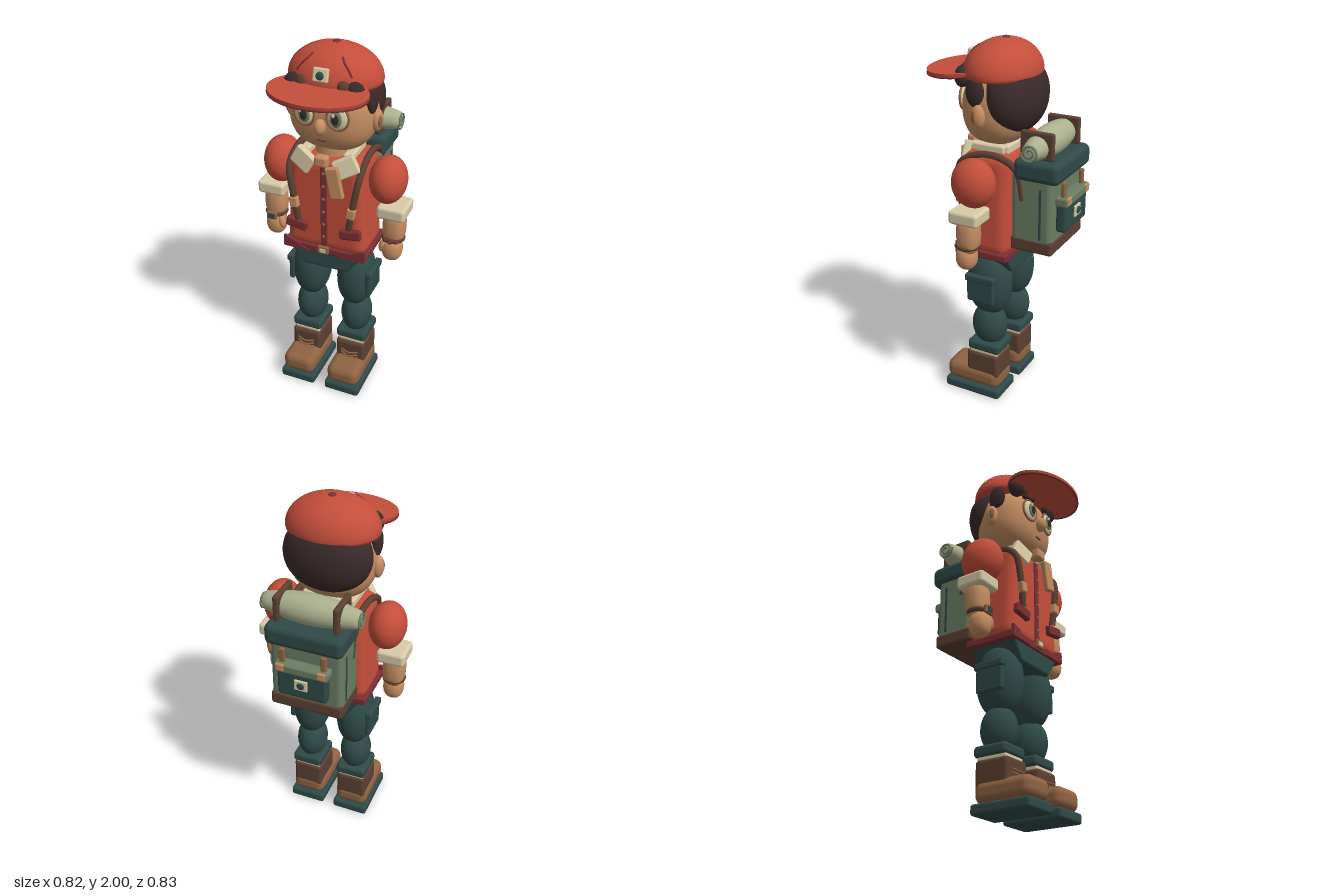
import * as THREE from 'three';
import { RoundedBoxGeometry } from 'three/addons/geometries/RoundedBoxGeometry.js';

const M = {};
for (const [name, hex] of Object.entries({
  red: 0xc44e3b, maroon: 0x7a2f34, teal: 0x2f4a48, sage: 0x6b7d64, paleSage: 0xabb18f,
  cream: 0xd8cba8, skin: 0xc48d62, leather: 0x8f6342, darkBrown: 0x5c4032, hair: 0x3a2a2a,
})) {
  M[name] = new THREE.MeshStandardMaterial({ color: hex });
  M[name].name = name;
}

export function createModel() {
  const root = new THREE.Group();
  root.name = 'hiker';

  const add = (name, geo, mat, p, rot = [0, 0, 0]) => {
    const m = new THREE.Mesh(geo, mat);
    m.name = name;
    m.position.set(...p);
    m.rotation.set(...rot);
    root.add(m);
    return m;
  };
  const box = (name, mat, p, s, r = 0.01, rot) =>
    add(name, r ? new RoundedBoxGeometry(...s, 3, r) : new THREE.BoxGeometry(...s), mat, p, rot);
  // Ellipsoid; exponent above 2 makes it boxier
  const ball = (name, mat, p, radii, rot, e = 2) => {
    const g = new THREE.SphereGeometry(1, 36, 24);
    const a = g.attributes.position;
    for (let i = 0; i < a.count; i++) {
      const v = [a.getX(i), a.getY(i), a.getZ(i)];
      const k = Math.pow(v.reduce((t, c) => t + Math.pow(Math.abs(c), e), 0), -1 / e);
      a.setXYZ(i, ...v.map((c, j) => c * k * radii[j]));
    }
    g.computeVertexNormals();
    return add(name, g, mat, p, rot);
  };
  const tube = (name, mat, pts, r, n = 24) => add(name, new THREE.TubeGeometry(
    new THREE.CatmullRomCurve3(pts.map(q => new THREE.Vector3(...q))), n, r, 8), mat, [0, 0, 0]);
  // Narrow a geometry in x and z from one end to the other
  const taper = (mesh, h, low, high) => {
    const a = mesh.geometry.attributes.position;
    for (let i = 0; i < a.count; i++) {
      const k = low + (high - low) * (a.getY(i) / h + 0.5);
      a.setX(i, a.getX(i) * k);
    }
    mesh.geometry.computeVertexNormals();
  };

  // Legs and boots
  for (const s of [1, -1]) {
    const x = s * 0.135;
    box('sole', M.teal, [x, 0.033, 0.11], [0.205, 0.056, 0.34], 0.015);
    box('bootFoot', M.leather, [x, 0.115, 0.113], [0.19, 0.115, 0.33], 0.045);
    box('bootShaft', M.darkBrown, [x, 0.2, 0.05], [0.17, 0.15, 0.195], 0.02);
    box('sock', M.cream, [x, 0.28, 0.045], [0.15, 0.025, 0.17], 0.008);
    box('trouserCuff', M.teal, [x, 0.317, 0.04], [0.175, 0.06, 0.195], 0.02);
    for (let i = 0; i < 3; i++)
      tube('lace', M.leather, [[x - 0.05, 0.215 - i * 0.02, 0.147], [x, 0.208 - i * 0.02, 0.16 + i * 0.005],
        [x + 0.05, 0.215 - i * 0.02, 0.147]], 0.005, 8);
    ball('lowerLeg', M.teal, [x, 0.435, 0.04], [0.085, 0.125, 0.1]);
    ball('upperLeg', M.teal, [s * 0.13, 0.695, 0.04], [0.1, 0.19, 0.125], undefined, 2.2);
    box('cargoPocket', M.teal, [s * 0.225, 0.685, 0.045], [0.03, 0.15, 0.16], 0.01);
    box('cargoFlap', M.teal, [s * 0.23, 0.75, 0.045], [0.036, 0.04, 0.175], 0.01);
  }

  // Hips and torso
  taper(box('hips', M.teal, [0, 0.835, 0.04], [0.42, 0.12, 0.27], 0.02), 0.12, 0.6, 1);
  taper(box('vest', M.red, [0, 1.165, 0.04], [0.45, 0.55, 0.28], 0.06), 0.55, 1, 0.88);
  box('hem', M.maroon, [0, 0.897, 0.04], [0.465, 0.04, 0.295], 0.008);
  box('placket', M.maroon, [0, 1.16, 0.18], [0.035, 0.48, 0.016], 0.005);
  for (let i = 0; i < 6; i++)
    ball('button', M.leather, [0, 0.99 + i * 0.075, 0.19], [0.009, 0.009, 0.006]);
  box('buckle', M.leather, [0, 0.91, 0.195], [0.06, 0.045, 0.02], 0.006);
  box('bucklePlate', M.cream, [0, 0.91, 0.206], [0.032, 0.022, 0.006], 0);
  const wedge = new THREE.Shape([[0.08, 0.88], [0.23, 0.88], [0.23, 0.945], [0.2, 0.94]]
    .map(q => new THREE.Vector2(...q)));
  const wedgeMirror = new THREE.Shape(wedge.getPoints().map(q => new THREE.Vector2(-q.x, q.y)));
  for (const sh of [wedge, wedgeMirror])
    add('waistFlap', new THREE.ExtrudeGeometry(sh, { depth: 0.015, bevelEnabled: false }), M.maroon, [0, 0, 0.178]);

  for (const s of [1, -1]) {
    // Chest patches and shoulder straps
    box('chestFlap', M.maroon, [s * 0.15, 1.04, 0.19], [0.115, 0.055, 0.035], 0.01, [0, 0, s * 0.15]);
    tube('shoulderStrap', M.darkBrown, [[s * 0.14, 1.07, 0.19], [s * 0.165, 1.22, 0.195], [s * 0.19, 1.37, 0.175],
      [s * 0.19, 1.43, 0.08], [s * 0.185, 1.435, -0.04], [s * 0.18, 1.38, -0.14], [s * 0.18, 1.23, -0.18]], 0.018, 40);
    box('strapBuckle', M.skin, [s * 0.157, 1.175, 0.2], [0.045, 0.06, 0.035], 0.008, [0, 0, -s * 0.15]);

    // Arms
    ball('sleeve', M.red, [s * 0.293, 1.32, 0.038], [0.097, 0.128, 0.117]);
    box('sleeveCuff', M.cream, [s * 0.335, 1.163, 0.042], [0.15, 0.072, 0.165], 0.018);
    ball('forearm', M.skin, [s * 0.338, 1.065, 0.045], [0.06, 0.115, 0.06], undefined, 2.5);
    ball('hand', M.skin, [s * 0.335, 0.93, 0.06], [0.055, 0.07, 0.055], undefined, 2.3);
    ball('thumb', M.skin, [s * 0.29, 0.95, 0.085], [0.02, 0.04, 0.022], [0, 0, -s * 0.2]);
    add('wristband', new THREE.TorusGeometry(0.05, 0.013, 10, 28), M.darkBrown,
      [s * 0.337, 0.995, 0.052], [Math.PI / 2, 0, 0]);
  }
  box('watchCase', M.leather, [-0.337, 0.995, 0.113], [0.06, 0.045, 0.02], 0.008);
  box('watchFace', M.teal, [-0.337, 0.995, 0.125], [0.036, 0.028, 0.006], 0);
  for (const dx of [-0.03, 0, 0.03])
    ball('bead', M.maroon, [0.337 + dx, 0.995, 0.112 - Math.abs(dx) * 0.4], [0.012, 0.012, 0.012]);

  // Neck, collar and scarf
  add('neck', new THREE.CylinderGeometry(0.09, 0.1, 0.14, 28), M.skin, [0, 1.46, 0.04]);
  for (const s of [1, -1]) {
    box('collarWing', M.cream, [s * 0.115, 1.415, 0.165], [0.12, 0.1, 0.04], 0.01, [-0.15, s * 0.2, s * 0.5]);
    box('collarSide', M.cream, [s * 0.115, 1.445, 0.05], [0.05, 0.06, 0.2], 0.012);
  }
  box('collarBack', M.cream, [0, 1.445, -0.045], [0.24, 0.06, 0.04], 0.012);
  box('scarfKnot', M.skin, [0, 1.445, 0.2], [0.07, 0.06, 0.05], 0.015);
  box('scarfTail', M.skin, [0.072, 1.34, 0.212], [0.07, 0.17, 0.03], 0.008, [0, 0, 0.2]);

  // Head and hair
  ball('head', M.skin, [0, 1.655, 0.035], [0.222, 0.195, 0.172], undefined, 2.5);
  ball('hairBack', M.hair, [0, 1.71, -0.05], [0.228, 0.19, 0.145], undefined, 2.1);
  ball('nose', M.skin, [0, 1.635, 0.22], [0.03, 0.042, 0.035]);
  tube('mouth', M.maroon, [[-0.022, 1.558, 0.2], [0, 1.553, 0.202], [0.022, 1.558, 0.2]], 0.004, 8);
  for (const s of [1, -1]) {
    const x = s * 0.086;
    ball('ear', M.skin, [s * 0.225, 1.64, 0.045], [0.03, 0.06, 0.036]);
    ball('innerEar', M.leather, [s * 0.243, 1.64, 0.055], [0.012, 0.035, 0.02]);
    ball('sideburn', M.hair, [s * 0.21, 1.755, 0.07], [0.025, 0.075, 0.05]);
    ball('eyeWhite', M.cream, [x, 1.69, 0.2], [0.052, 0.062, 0.022], [0, s * 0.12, 0]);
    add('eyeRim', new THREE.TorusGeometry(0.054, 0.006, 8, 32), M.leather, [x, 1.69, 0.205], [0, s * 0.12, 0])
      .scale.y = 1.15;
    ball('iris', M.sage, [x - s * 0.004, 1.69, 0.218], [0.03, 0.042, 0.01]);
    ball('pupil', M.hair, [x - s * 0.004, 1.69, 0.225], [0.018, 0.028, 0.007]);
    ball('eyeGlint', M.cream, [x - 0.014, 1.71, 0.229], [0.009, 0.011, 0.005]);
    box('eyebrow', M.hair, [s * 0.092, 1.768, 0.2], [0.085, 0.02, 0.025], 0.008, [0, s * 0.15, -s * 0.12]);
    // Fringe tufts pressed around the cap front
    ball('fringeTuft', M.hair, [s * 0.16, 1.815, 0.165], [0.048, 0.055, 0.04], [0, 0, s * 0.3]);
    ball('smallTuft', M.darkBrown, [s * 0.105, 1.835, 0.18], [0.034, 0.04, 0.025], [0, 0, s * 0.4]);
  }

  // Cap: dome, brim, button, seams and patch
  const dome = [];
  for (let i = 0; i <= 16; i++) {
    const a = i / 16 * Math.PI / 2;
    dome.push(new THREE.Vector2(Math.cos(a) * 0.24 + 1e-5, Math.sin(a) * 0.165));
  }
  dome.unshift(new THREE.Vector2(0.001, -0.015), new THREE.Vector2(0.236, -0.015));
  add('capDome', new THREE.LatheGeometry(dome, 48), M.red, [0, 1.827, 0.02]).scale.z = 0.79;
  const brim = add('capBrim', new THREE.CylinderGeometry(0.25, 0.246, 0.02, 56), M.red, [0, 1.825, 0.24], [0.03, 0, 0]);
  brim.scale.z = 0.7;
  const edge = add('brimEdge', new THREE.TorusGeometry(0.246, 0.006, 8, 56), M.maroon, [0, 1.816, 0.24], [Math.PI / 2 + 0.03, 0, 0]);
  edge.scale.y = 0.7;
  ball('capButton', M.maroon, [0, 1.99, 0.01], [0.02, 0.01, 0.02]);
  const domeY = (x, z) => 1.827 + 0.165 * Math.sqrt(Math.max(0, 1 - (x / 0.24) ** 2 - ((z - 0.02) / 0.19) ** 2));
  for (const s of [1, -1])
    tube('capSeam', M.maroon, [[0.075, 0.115], [0.09, 0.135], [0.115, 0.15], [0.14, 0.16]]
      .map(([x, z]) => [s * x, domeY(x, z), z]), 0.005, 16);
  box('capPatch', M.cream, [0, 1.893, 0.2], [0.075, 0.065, 0.025], 0.006, [-0.25, 0, 0]);
  ball('capPatchDot', M.teal, [0, 1.893, 0.214], [0.02, 0.02, 0.008], [-0.25, 0, 0]);

  // Backpack
  box('packBody', M.sage, [0, 1.18, -0.228], [0.385, 0.4, 0.225], 0.03);
  box('packBase', M.darkBrown, [0, 0.99, -0.23], [0.39, 0.075, 0.232], 0.015);
  box('packLid', M.teal, [0, 1.393, -0.255], [0.415, 0.115, 0.25], 0.035);
  box('packPocket', M.teal, [0, 1.155, -0.365], [0.265, 0.175, 0.06], 0.018);
  box('pocketFlap', M.sage, [0, 1.235, -0.37], [0.285, 0.05, 0.07], 0.012);
  box('pocketPatch', M.cream, [0, 1.155, -0.398], [0.07, 0.06, 0.012], 0.004);
  ball('pocketPatchDot', M.teal, [0, 1.155, -0.405], [0.02, 0.02, 0.008]);
  for (const s of [1, -1]) {
    box('packStrap', M.leather, [s * 0.11, 1.27, -0.37], [0.03, 0.13, 0.02], 0.006);
    box('packStrapBuckle', M.skin, [s * 0.11, 1.24, -0.4], [0.045, 0.04, 0.016], 0.006);
    box('sideSeam', M.teal, [s * 0.193, 1.17, -0.28], [0.006, 0.27, 0.012], 0);
  }

  // Bedroll with its holders and spiral ends
  const roll = [[0.001, -0.25], [0.032, -0.25]];
  for (let i = -8; i <= 8; i++) roll.push([0.04 + 0.04 * Math.cos(i / 8 * 1.45), i / 8 * 0.243]);
  roll.push([0.032, 0.25], [0.001, 0.25]);
  add('bedroll', new THREE.LatheGeometry(roll.map(q => new THREE.Vector2(...q)), 36), M.paleSage,
    [0, 1.51, -0.248], [0, 0, Math.PI / 2]);
  for (const s of [1, -1]) {
    box('rollHolder', M.darkBrown, [s * 0.155, 1.52, -0.245], [0.03, 0.14, 0.178], 0.01);
    const pts = [];
    for (let i = 0; i <= 30; i++) {
      const a = i / 30 * Math.PI * 4, r = 0.01 + 0.038 * i / 30;
      pts.push([s * 0.254, 1.51 + r * Math.sin(a), -0.248 + r * Math.cos(a)]);
    }
    tube('rollSpiral', M.sage, pts, 0.005, 60);
  }
  return root;
}
